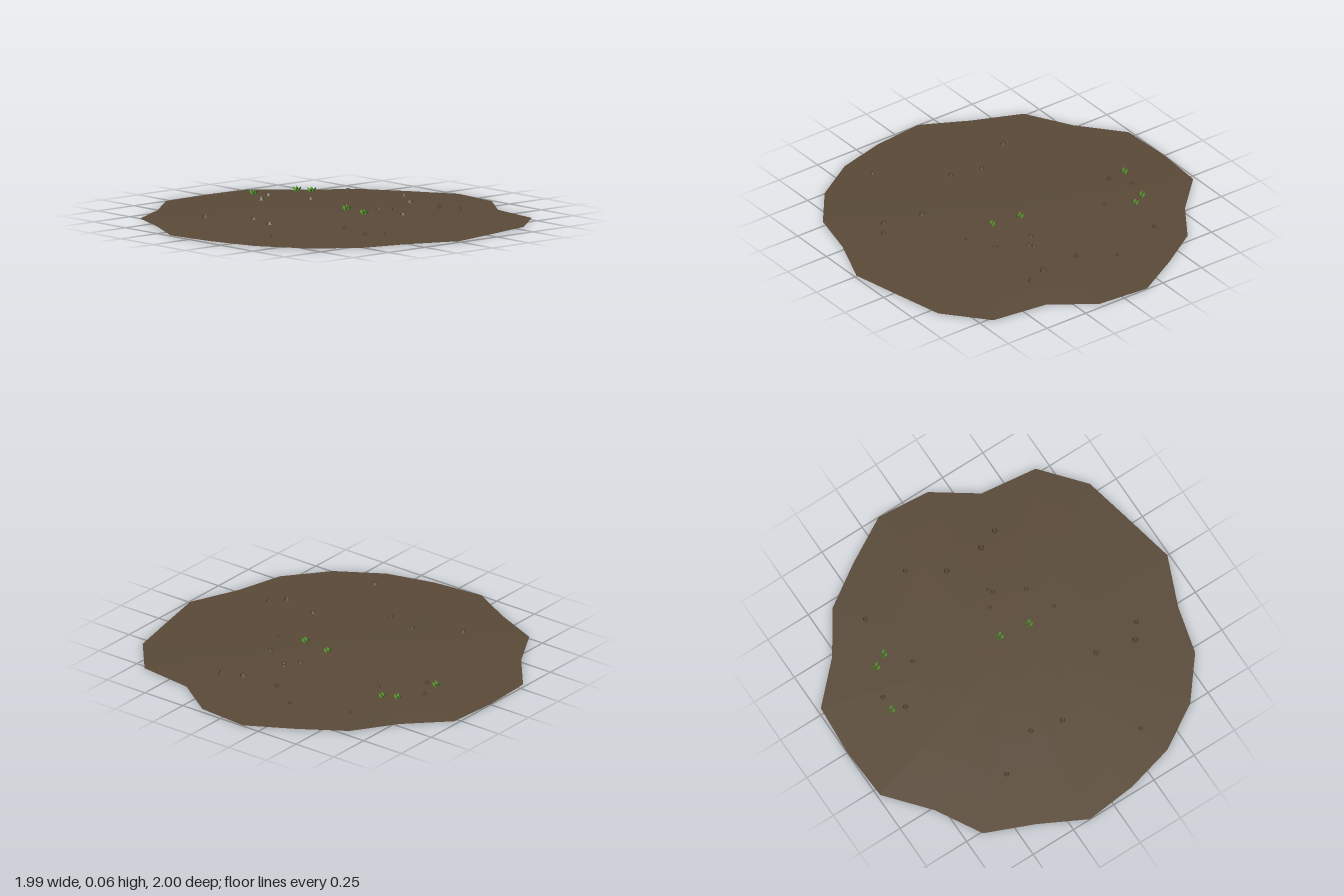
import * as THREE from 'three';

const mat = (name, color, side = THREE.FrontSide) =>
  new THREE.MeshStandardMaterial({ name, color, side, flatShading: true });

// Irregular outline of the patch as x, z pairs, from the back point round past +x
const OUTLINE = [
  [-0.147, -1], [0.14, -0.975], [0.37, -0.815], [0.68, -0.775], [0.87, -0.55], [0.93, -0.28],
  [0.99, 0], [0.88, 0.27], [0.815, 0.53], [0.64, 0.75], [0.4, 0.9], [0.135, 0.97],
  [-0.147, 1], [-0.395, 0.87], [-0.655, 0.76], [-0.795, 0.515], [-0.985, 0.29], [-1, 0],
  [-0.98, -0.28], [-0.775, -0.485], [-0.625, -0.71], [-0.395, -0.86],
];

// Pebbles and grass tufts as x, z positions
const PEBBLES = [
  [-0.2, -0.67], [-0.52, -0.56], [0.31, -0.6], [0.2, -0.56], [0.1, -0.345], [0.115, -0.32],
  [0.055, -0.26], [0.27, -0.24], [-0.44, -0.23], [-0.68, -0.15], [-0.61, -0.04], [-0.02, -0.55],
  [0.34, -0.08], [0.65, 0.225], [0.59, 0.305], [0.38, 0.255], [0.345, 0.73], [-0.375, 0.56],
  [-0.14, 0.43], [0.03, 0.47],
];
const TUFTS = [[-0.555, -0.34], [-0.625, -0.3], [-0.69, -0.06], [0.005, -0.09], [0.17, -0.065]];

const EDGE = 0.004;
const height = (s) => EDGE + 0.028 * (1 - Math.pow(s, 1.7));

// Rings of scaled outline, with the winding set for an upper or lower face
function disc(rings, yAt, up) {
  const pos = [];
  const n = OUTLINE.length;
  const point = (i, s) => [OUTLINE[i % n][0] * s, yAt(s), OUTLINE[i % n][1] * s];
  const tri = (a, b, c) => pos.push(...a, ...(up ? c : b), ...(up ? b : c));
  for (let r = 0; r < rings; r++) {
    const s0 = r / rings, s1 = (r + 1) / rings;
    for (let i = 0; i < n; i++) {
      const a = point(i, s0), b = point(i, s1), c = point(i + 1, s1), d = point(i + 1, s0);
      tri(a, b, c);
      if (r > 0) tri(a, c, d);
    }
  }
  const geo = new THREE.BufferGeometry();
  geo.setAttribute('position', new THREE.Float32BufferAttribute(pos, 3));
  geo.computeVertexNormals();
  return geo;
}

// Small pointed leaf standing on its stem
function leafGeometry() {
  const shape = new THREE.Shape();
  shape.moveTo(0, 0);
  shape.lineTo(0.009, 0.021);
  shape.lineTo(0, 0.034);
  shape.lineTo(-0.009, 0.021);
  return new THREE.ShapeGeometry(shape);
}

export function createModel() {
  const model = new THREE.Group();
  model.name = 'dirtPatch';
  const soil = mat('soil brown', 0x5a4a38);
  const stone = mat('pebble brown', 0x52432f);
  const grass = mat('grass green', 0x4c9a26, THREE.DoubleSide);

  const add = (parent, name, geo, material) => {
    const mesh = new THREE.Mesh(geo, material);
    mesh.name = name;
    parent.add(mesh);
    return mesh;
  };

  // Low mound and its shallow underside
  add(model, 'moundTop', disc(6, height, true), soil);
  add(model, 'moundUnderside', disc(2, (s) => EDGE * s, false), soil);

  // Pebbles half sunk in the soil
  const pebbleGeo = new THREE.CylinderGeometry(0.009, 0.017, 0.018, 5);
  PEBBLES.forEach(([x, z], i) => {
    const pebble = add(model, 'pebble', pebbleGeo, stone);
    pebble.position.set(x, 0.029, z);
    pebble.rotation.y = i * 2.4;
    pebble.scale.setScalar(0.8 + 0.1 * (i % 4));
  });

  // Grass tufts: two pairs of leaves leaning outwards
  const leafGeo = leafGeometry();
  TUFTS.forEach(([x, z]) => {
    const tuft = new THREE.Group();
    tuft.name = 'grassTuft';
    tuft.position.set(x, 0.034, z);
    for (const side of [-1, 1]) {
      for (const row of [-1, 1]) {
        const leaf = add(tuft, 'leaf', leafGeo, grass);
        leaf.rotation.set(0.6, side * Math.PI / 2, 0, 'YXZ');
        leaf.position.z = row * 0.011;
      }
    }
    model.add(tuft);
  });
  return model;
}
